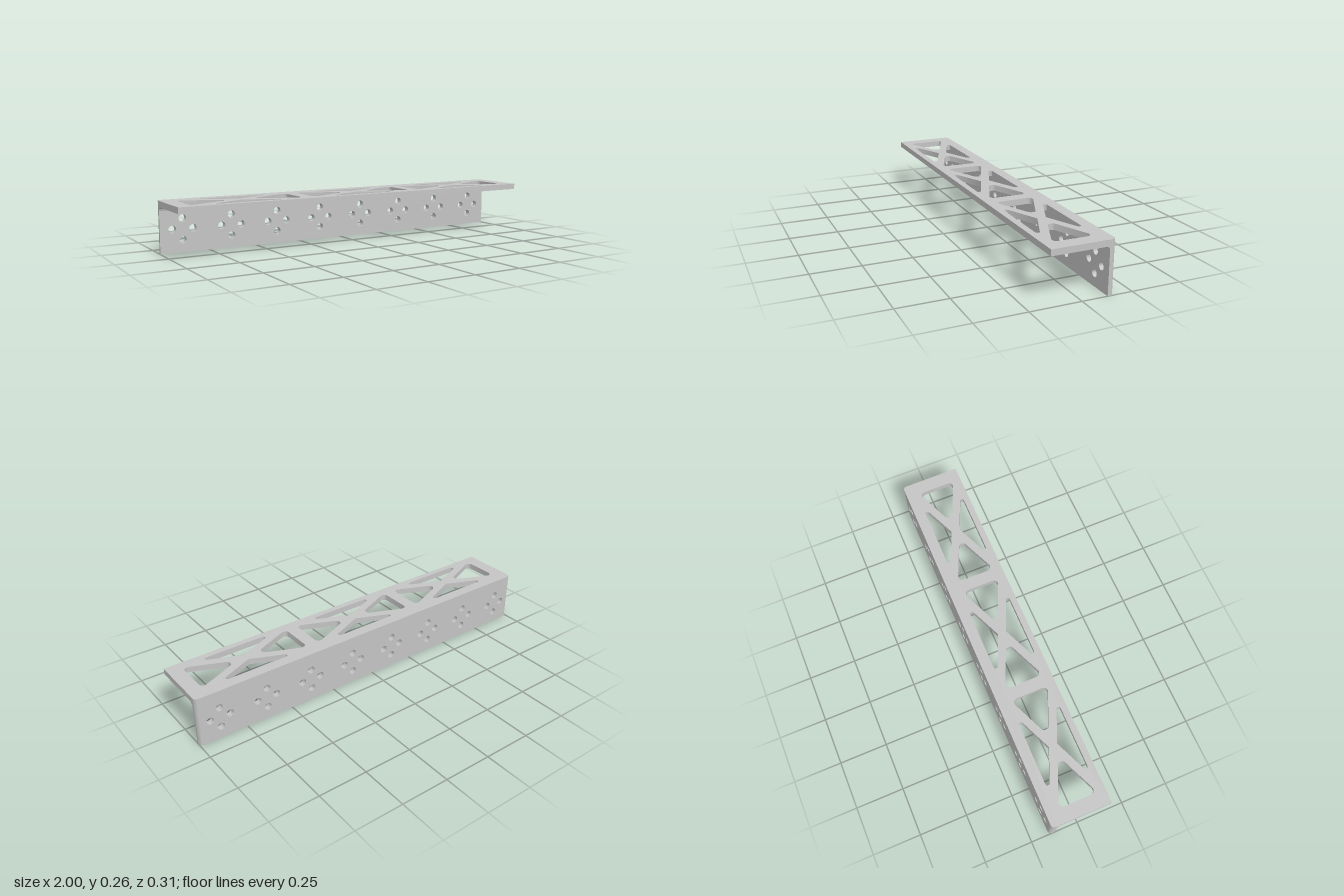
import * as THREE from 'three';
import { toCreasedNormals } from 'three/addons/utils/BufferGeometryUtils.js';

const W = 1;          // half length
const D = 0.156;      // half depth
const H = 0.26;       // height
const T = 0.0305;     // plate thickness
const R = 0.02;       // edge and fillet radius
const K = R + 0.001;  // distance from a rounded corner where the flat face begins

// Trace a closed polygon of [x, y, cornerRadius] with true arcs at its corners
function roundedPolygon(target, pts) {
  const n = pts.length;
  pts.forEach(([x, y, r], i) => {
    if (!r) {
      if (i === 0) target.moveTo(x, y); else target.lineTo(x, y);
      return;
    }
    const p = new THREE.Vector2(x, y);
    const a = new THREE.Vector2(...pts[(i + n - 1) % n].slice(0, 2)).sub(p).normalize();
    const b = new THREE.Vector2(...pts[(i + 1) % n].slice(0, 2)).sub(p).normalize();
    const half = Math.acos(a.dot(b)) / 2;
    const reach = r / Math.tan(half);
    const c = a.clone().add(b).normalize().multiplyScalar(r / Math.sin(half)).add(p);
    const s = a.multiplyScalar(reach).add(p).sub(c);
    const e = b.multiplyScalar(reach).add(p).sub(c);
    target.absarc(c.x, c.y, r, s.angle(), e.angle(), s.cross(e) < 0);
  });
  return target;
}

function extrude(shape, depth) {
  return new THREE.ExtrudeGeometry(shape, { depth, bevelEnabled: false, curveSegments: 10 });
}

export function createModel() {
  const group = new THREE.Group();
  const metal = new THREE.MeshStandardMaterial({ color: 0xc4c4c4 });
  metal.name = 'grey metal';

  const add = (name, geometry) => {
    const mesh = new THREE.Mesh(toCreasedNormals(geometry, 0.6), metal);
    mesh.name = name;
    group.add(mesh);
  };

  // Top plate: counter-clockwise footprint in x and z, rounded at the rear corners
  const top = roundedPolygon(new THREE.Shape(), [
    [-W, D, 0], [-W, -D + K, 0], [-W, -D, R], [-W + K, -D, 0],
    [W - K, -D, 0], [W, -D, R], [W, -D + K, 0], [W, D, 0],
  ]);

  // Three cross-braced bays cut out of the top plate
  const slope = 0.43, midZ = 0.012;
  for (const cx of [-0.64, 0, 0.64]) {
    for (const s of [-1, 1]) {
      // long triangle beside the front or back rim
      const base = 0.112, apex = 0.022, w = (base - apex) / slope;
      top.holes.push(roundedPolygon(new THREE.Path(), [
        [cx, midZ + s * apex, 0.01],
        [cx + w, midZ + s * base, 0.011],
        [cx - w, midZ + s * base, 0.011],
      ]));
      // triangle at the left or right end of the bay
      const near = 0.052, far = 0.288, h = (far - near) * slope;
      top.holes.push(roundedPolygon(new THREE.Path(), [
        [cx + s * near, midZ, 0.022],
        [cx + s * far, midZ + h, 0.022],
        [cx + s * far, midZ - h, 0.022],
      ]));
    }
  }
  add('topPlate', extrude(top, T).rotateX(Math.PI / 2).translate(0, H, 0));

  // Back plate with eight groups of four round holes
  const wallH = H - T, inner = W - K;
  const back = roundedPolygon(new THREE.Shape(), [
    [-inner, 0, 0], [inner, 0, 0], [inner, wallH, 0], [-inner, wallH, 0],
  ]);
  for (let i = 0; i < 8; i++) {
    const cx = (i - 3.5) * 0.2533;
    for (const [dx, dy] of [[1, 0], [-1, 0], [0, 1], [0, -1]]) {
      const hole = new THREE.Path();
      hole.absarc(cx + dx * 0.052, 0.116 + dy * 0.053, 0.019, 0, Math.PI * 2, true);
      back.holes.push(hole);
    }
  }
  add('backPlate', extrude(back, T).translate(0, 0, -D));

  // Ends of the back plate, rounded on their rear vertical edge
  for (const s of [-1, 1]) {
    const end = roundedPolygon(new THREE.Shape(), [
      [s * inner, -D + T, 0], [s * W, -D + T, 0], [s * W, -D + K, 0],
      [s * W, -D, R], [s * inner, -D, 0],
    ]);
    add(s > 0 ? 'leftBackEdge' : 'rightBackEdge',
      extrude(end, wallH).rotateX(Math.PI / 2).translate(0, wallH, 0));
  }

  // Concave fillet in the inside corner, running the whole length
  const cornerZ = D - T;
  const fillet = new THREE.Shape();
  fillet.moveTo(cornerZ, wallH);
  fillet.lineTo(cornerZ - R, wallH);
  fillet.absarc(cornerZ - R, wallH - R, R, Math.PI / 2, 0, true);
  add('insideFillet', extrude(fillet, 2 * W).rotateY(Math.PI / 2).translate(-W, 0, 0));

  return group;
}
